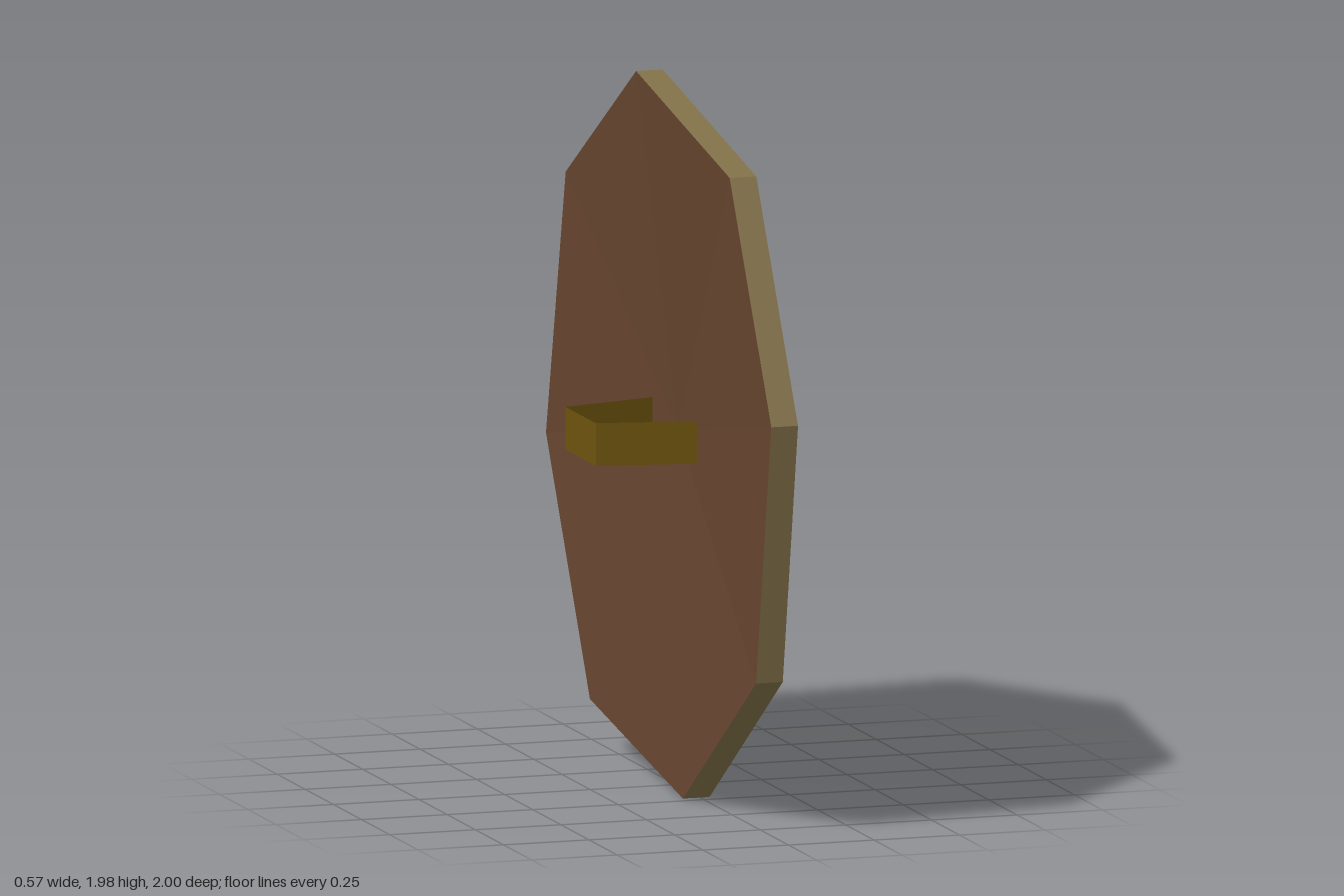
import * as THREE from 'three';

const mat = (name, color, side = THREE.FrontSide) => {
  const m = new THREE.MeshStandardMaterial({ color, side, flatShading: true });
  m.name = name;
  return m;
};

// Outlines as [z, y], clockwise when seen from +x
const OUTER = [[0.63, 1.82], [-0.2, 1.98], [-0.825, 1.59], [-1, 0.825],
  [-0.61, 0.14], [0.215, 0], [0.865, 0.435], [1, 1.18]];
const MIDDLE = [[0.24, 1.35], [-0.04, 1.355], [-0.26, 1.18], [-0.32, 0.93],
  [-0.2, 0.73], [0.09, 0.63], [0.33, 0.79], [0.405, 1.06]];
const BOSS = [[0.096, 1.197], [-0.02, 1.18], [-0.113, 1.078], [-0.077, 0.935],
  [0.01, 0.868], [0.14, 0.885], [0.195, 0.973], [0.195, 1.115]];

const ring = (x, pts) => pts.map(([z, y]) => new THREE.Vector3(x, y, z));
const tip = (x, y, z) => Array.from({ length: 8 }, () => new THREE.Vector3(x, y, z));

// Joins successive eight-sided rings, ordered towards +x; a tip closes an end
function loft(rings) {
  const pos = [];
  const tri = (...v) => {
    if (new THREE.Triangle(...v).getArea() > 1e-7) v.forEach(p => pos.push(p.x, p.y, p.z));
  };
  for (let r = 0; r < rings.length - 1; r++) {
    const a = rings[r], b = rings[r + 1];
    for (let i = 0; i < 8; i++) {
      const j = (i + 1) % 8;
      tri(a[i], b[i], a[j]);
      tri(b[i], b[j], a[j]);
    }
  }
  const g = new THREE.BufferGeometry();
  g.setAttribute('position', new THREE.Float32BufferAttribute(pos, 3));
  g.computeVertexNormals();
  return g;
}

export function createModel() {
  const group = new THREE.Group();
  group.name = 'shield';
  const wood = mat('brown wood', 0x67452f);
  const metal = mat('dull brass', 0x83724a);
  const strap = mat('golden strap', 0x6e540d, THREE.DoubleSide);
  const add = (name, geometry, material) => {
    const mesh = new THREE.Mesh(geometry, material);
    mesh.name = name;
    group.add(mesh);
  };

  const back = ring(-0.05, OUTER), edge = ring(0.028, OUTER);
  const inner = ring(0.145, BOSS);

  // Shield body, with a shallow dished back
  add('backFace', loft([tip(0.006, 1, 0), back]), wood);
  add('rim', loft([back, edge]), metal);
  add('frontFace', loft([edge, ring(0.105, MIDDLE), inner]), wood);

  // Pointed centre boss
  add('boss', loft([inner, ring(0.185, BOSS), tip(0.283, 1.02, 0.015)]), metal);

  // Thin bent strap behind the shield, path as [x, z]
  const path = [[0, -0.192], [-0.283, -0.12], [-0.283, 0.15], [0, 0.21]];
  const strip = new THREE.PlaneGeometry(1, 0.12, 3, 1);
  const p = strip.attributes.position;
  for (let i = 0; i < p.count; i++) {
    const [x, z] = path[i % 4];
    p.setXYZ(i, x, p.getY(i) + 1, z);
  }
  strip.computeVertexNormals();
  add('handle', strip, strap);

  return group;
}
